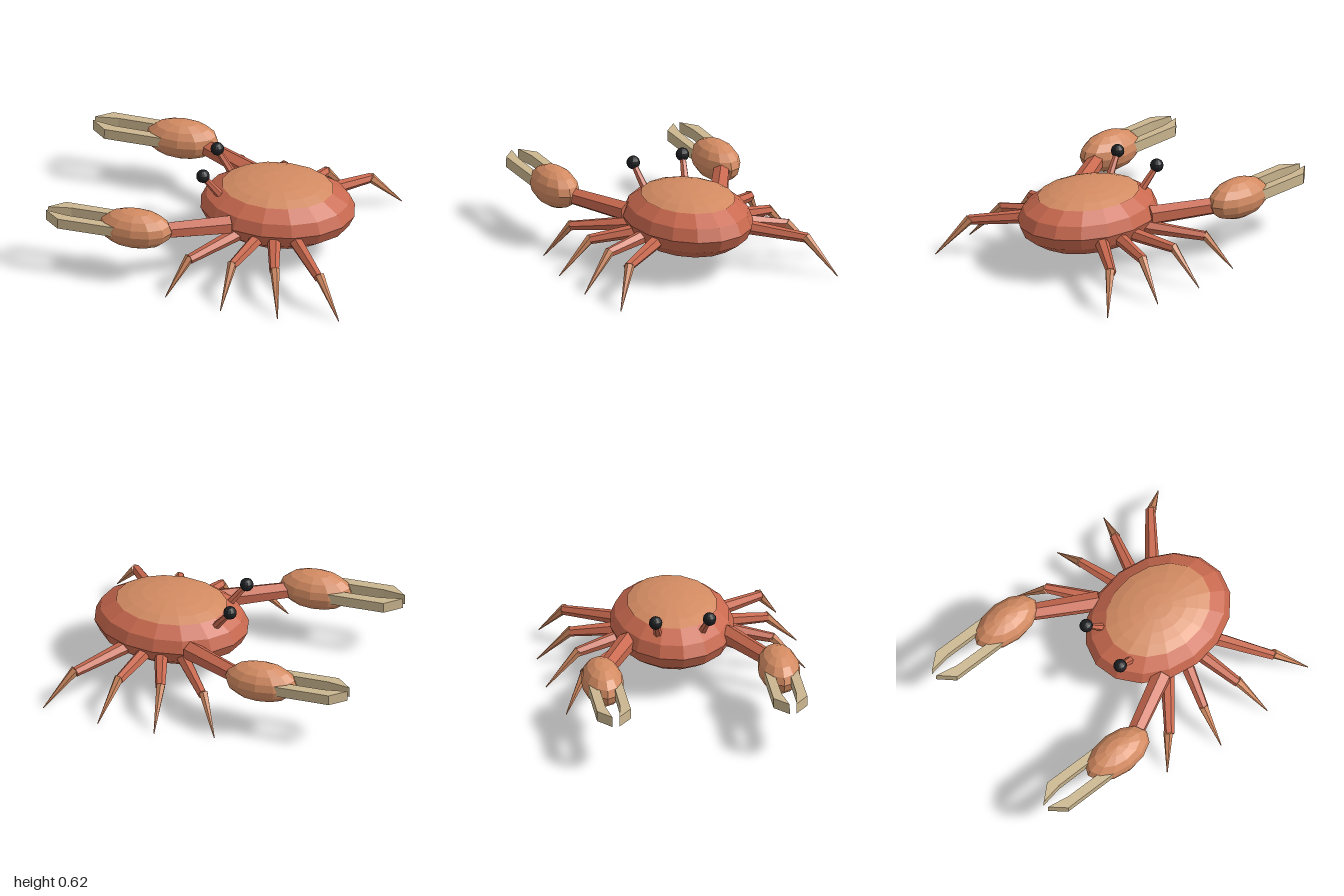
import * as THREE from 'three';

const mat = (name, color, extra = {}) =>
  new THREE.MeshStandardMaterial({ name, color, flatShading: true, ...extra });

export function createModel() {
  const crab = new THREE.Group();
  crab.name = 'crab';

  const red = mat('bodyRed', 0xc9694f);
  const orange = mat('shellOrange', 0xd38b62, { side: THREE.DoubleSide });
  const cream = mat('pincerCream', 0xcbb68f);
  const black = mat('eyeBlack', 0x1c1d20);

  const add = (parent, name, geometry, material) => {
    const mesh = new THREE.Mesh(geometry, material);
    mesh.name = name;
    parent.add(mesh);
    return mesh;
  };

  // Tapered limb between two points
  const limb = (parent, name, from, to, r0, r1, material, sides = 6) => {
    const a = new THREE.Vector3(...from);
    const dir = new THREE.Vector3(...to).sub(a);
    const mesh = add(parent, name, new THREE.CylinderGeometry(r1, r0, dir.length(), sides), material);
    mesh.position.copy(a).addScaledVector(dir, 0.5);
    mesh.quaternion.setFromUnitVectors(new THREE.Vector3(0, 1, 0), dir.normalize());
    return mesh;
  };

  // Body and the raised cap on its back
  const body = add(crab, 'body', new THREE.SphereGeometry(1, 16, 8), red);
  body.scale.set(0.51, 0.21, 0.4);
  body.position.set(0.38, 0.322, 0);

  const cap = add(crab, 'backShell',
    new THREE.SphereGeometry(1, 16, 4, 0, Math.PI * 2, 0, Math.PI / 4), orange);
  cap.scale.set(0.518, 0.216, 0.41);
  cap.position.set(0.38, 0.32, 0);

  // Pincer outlines as [x, z]: outer and inner finger of a claw
  const fingers = {
    outerFinger: [[-1, 0.597], [-0.9, 0.683], [-0.5, 0.68], [-0.5, 0.62], [-0.85, 0.62]],
    innerFinger: [[-1, 0.553], [-0.9, 0.463], [-0.5, 0.463], [-0.5, 0.52], [-0.85, 0.525]],
  };

  // Legs as [hip x, knee x, foot x, foot z]
  const legs = [
    [0.21, -0.035, -0.158, 0.77],
    [0.35, 0.25, 0.227, 0.842],
    [0.44, 0.53, 0.607, 0.842],
    [0.58, 0.825, 0.996, 0.77],
  ];

  for (const s of [1, -1]) {
    const side = new THREE.Group();
    side.name = s > 0 ? 'leftLimbs' : 'rightLimbs';
    crab.add(side);

    // Arm and claw
    limb(side, 'arm', [0.15, 0.335, s * 0.325], [-0.27, 0.35, s * 0.55], 0.066, 0.055, red);
    const palm = add(side, 'clawPalm', new THREE.SphereGeometry(1, 12, 8), orange);
    palm.scale.set(0.242, 0.13, 0.136);
    palm.position.set(-0.41, 0.365, s * 0.573);
    for (const [name, points] of Object.entries(fingers)) {
      const shape = new THREE.Shape(points.map(([x, z]) => new THREE.Vector2(x + 0.75, z * s)));
      const geo = new THREE.ExtrudeGeometry(shape, { depth: 0.07, bevelEnabled: false });
      geo.rotateX(Math.PI / 2).translate(0, 0.035, 0);
      const finger = add(side, name, geo, cream);
      finger.position.set(-0.75, 0.38, 0);
      finger.rotation.z = -0.02;
    }

    // Walking legs
    legs.forEach(([hipX, kneeX, footX, footZ], i) => {
      const knee = [kneeX, 0.228, s * 0.638];
      limb(side, `legUpper${i + 1}`, [hipX, 0.277, s * 0.31], knee, 0.047, 0.032, red);
      limb(side, `legTip${i + 1}`, [kneeX, 0.24, s * 0.625], [footX, 0.002, s * footZ], 0.032, 0.003, orange);
    });

    // Eye on its stalk
    limb(side, 'eyeStalk', [0.05, 0.415, s * 0.14], [-0.065, 0.565, s * 0.174], 0.028, 0.02, red);
    const eye = add(side, 'eye', new THREE.SphereGeometry(0.044, 12, 8), black);
    eye.position.set(-0.07, 0.575, s * 0.175);
  }

  return crab;
}
